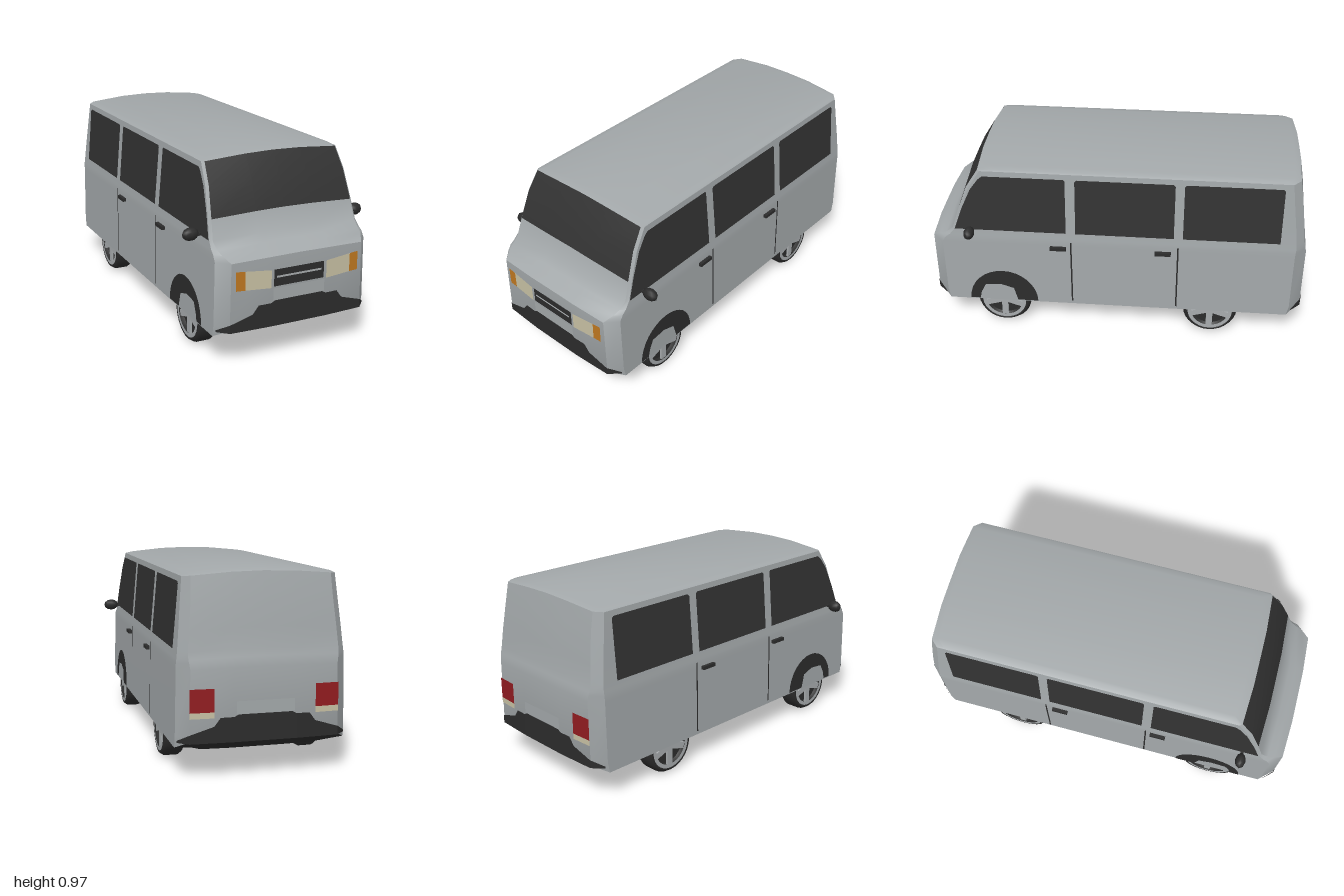
import * as THREE from 'three';
import { toCreasedNormals } from 'three/addons/utils/BufferGeometryUtils.js';

const mat = (name, color, side = THREE.FrontSide) => {
  const m = new THREE.MeshStandardMaterial({ color, side });
  m.name = name;
  return m;
};

// Horizontal body rings: height, half width, front z, front corner inset, back z, back corner inset, end lift, crown
const RINGS = [
  [0.12, 0.31, 0.88, 0.03, -0.88, 0.03, 0, 0],
  [0.15, 0.416, 0.985, 0.055, -0.985, 0.055, 0.035, 0],
  [0.205, 0.415, 0.996, 0.055, -0.996, 0.055, 0.01, 0],
  [0.52, 0.4086, 0.996, 0.055, -0.996, 0.055, 0, 0.01],
  [0.55, 0.408, 0.95, 0.03, -0.992, 0.05, 0, 0.01],
  [0.567, 0.406, 0.915, 0.02, -0.988, 0.045, 0, 0.01],
  [0.6, 0.402, 0.877, 0.012, -0.98, 0.04, 0, 0.01],
  [0.695, 0.3935, 0.845, 0.012, -0.97, 0.04, 0, 0.015],
  [0.84, 0.3804, 0.79, 0.012, -0.95, 0.04, 0, 0.018],
  [0.94, 0.371, 0.725, 0.012, -0.932, 0.035, 0, 0.022],
  [0.948, 0.362, 0.68, 0.03, -0.9, 0.035, 0, 0.025],
];
const GLASS_FROM = 7, GLASS_TO = 9;

const lerpTable = (table, v) => {
  for (let i = 1; i < table.length; i++) {
    const [a, fa] = table[i - 1], [b, fb] = table[i];
    if (v <= b) return fa + (fb - fa) * (v - a) / (b - a);
  }
  return table[table.length - 1][1];
};
const sideX = (y) => lerpTable([[0.15, 0.416], [0.55, 0.408], [0.6, 0.402], [0.94, 0.371]], y);
const endZ = (x) => lerpTable([[0, 0.996], [0.15, 0.996], [0.36, 0.986], [0.415, 0.928]], Math.abs(x));

// Seven points across the front, then seven back across the rear
function ringPoints([y, w, zf, df, zb, db, lift, crown]) {
  const end = (z, d, s) => {
    const c = w - d, zc = z - s * 0.01, zs = zc - s * d * 1.1;
    return [[-w, zs], [-c, zc], [-0.15, z], [0, z], [0.15, z], [c, zc], [w, zs]].map(([x, pz], i) =>
      [x, y + (i > 0 && i < 6 ? lift : 0) + crown * (1 - (x / w) ** 2), pz]);
  };
  return [...end(zf, df, 1), ...end(zb, db, -1).reverse()];
}

function bodyGeometry() {
  const rings = RINGS.map(ringPoints), n = 14;
  const faces = [[], [], []]; // paint, trim, glass
  const quad = (g, a, b, c, d) => faces[g].push(a, b, c, a, c, d);
  const id = (r, i) => r * n + (i % n);
  for (let r = 0; r < rings.length - 1; r++) {
    for (let i = 0; i < n; i++) {
      const glass = r >= GLASS_FROM && r < GLASS_TO && i >= 1 && i <= 4;
      quad(r === 0 ? 1 : glass ? 2 : 0, id(r, i), id(r, i + 1), id(r + 1, i + 1), id(r + 1, i));
    }
  }
  const top = rings.length - 1;
  for (let i = 0; i < 6; i++) {
    quad(0, id(top, i), id(top, i + 1), id(top, 12 - i), id(top, 13 - i));
    quad(1, id(0, i + 1), id(0, i), id(0, 13 - i), id(0, 12 - i));
  }
  const g = new THREE.BufferGeometry();
  g.setAttribute('position', new THREE.Float32BufferAttribute(rings.flat(2), 3));
  g.setIndex(faces.flat());
  let start = 0;
  faces.forEach((f, k) => { g.addGroup(start, f.length, k); start += f.length; });
  return toCreasedNormals(g, 0.6);
}

export function createModel() {
  const paint = mat('silver paint', 0xa3a8aa);
  const trim = mat('dark trim', 0x2c2c2c, THREE.DoubleSide);
  const glass = mat('dark glass', 0x323232);
  const lamp = mat('headlamp cream', 0xc8c1a4);
  const amber = mat('amber', 0xbf7820);
  const red = mat('tail red', 0x921c20);
  const alloy = mat('alloy', 0xa8acae);

  const model = new THREE.Group();
  model.name = 'van';
  const add = (parent, name, geo, material, x = 0, y = 0, z = 0) => {
    const m = new THREE.Mesh(geo, material);
    m.name = name;
    m.position.set(x, y, z);
    parent.add(m);
    return m;
  };
  const group = (name, parent = model) => {
    const g = new THREE.Group();
    g.name = name;
    parent.add(g);
    return g;
  };
  // Thin plate laid over the body by a placing rule
  const plate = (parent, name, pts, material, place) => {
    const g = new THREE.ShapeGeometry(new THREE.Shape(pts.map(([a, b]) => new THREE.Vector2(a, b))));
    const p = g.attributes.position;
    for (let i = 0; i < p.count; i++) p.setXYZ(i, ...place(p.getX(i), p.getY(i)));
    g.computeVertexNormals();
    return add(parent, name, g, material);
  };
  const rect = (x0, x1, y0, y1) => [[x0, y0], [x1, y0], [x1, y1], [x0, y1]];
  const onEnd = (off) => (x, y) => [x, y, endZ(x) + off];
  const onSide = (u, y) => [sideX(y) + 0.004, y, -u];
  const flipX = (pts, s) => pts.map(([x, y]) => [x * s, y]);

  add(model, 'body', bodyGeometry(), [paint, trim, glass]);

  // Bumper trim and number plate, shared by both ends
  const front = group('frontEnd'), rear = group('rearEnd');
  rear.rotation.y = Math.PI;
  for (const end of [front, rear]) {
    plate(end, 'bumperCentre', [[-0.15, 0.18], [0.15, 0.18], [0.15, 0.299], [0.13, 0.31], [-0.13, 0.31], [-0.15, 0.299]], trim, onEnd(0.003));
    plate(end, 'numberPlate', rect(-0.14, 0.14, 0.312, 0.372), paint, onEnd(0.004));
    for (const s of [-1, 1]) {
      plate(end, 'bumperSide', flipX([[0.15, 0.18], [0.36, 0.18], [0.36, 0.222], [0.245, 0.258], [0.215, 0.298], [0.15, 0.299]], s), trim, onEnd(0.003));
      plate(end, 'bumperCorner', flipX([[0.36, 0.18], [0.41, 0.178], [0.41, 0.187], [0.36, 0.222]], s), trim, onEnd(0.003));
    }
  }

  // Grille and lamps
  plate(front, 'grille', rect(-0.136, 0.136, 0.38, 0.464), trim, onEnd(0.002));
  plate(front, 'grilleBar', rect(-0.122, 0.122, 0.422, 0.432), alloy, onEnd(0.004));
  for (const s of [-1, 1]) {
    plate(front, 'headlamp', flipX([[0.15, 0.375], [0.285, 0.384], [0.285, 0.477], [0.15, 0.464]], s), lamp, onEnd(0.003));
    plate(front, 'indicator', flipX([[0.285, 0.384], [0.332, 0.386], [0.332, 0.481], [0.285, 0.477]], s), amber, onEnd(0.003));
    plate(rear, 'tailLamp', flipX(rect(0.245, 0.36, 0.325, 0.435), s), red, onEnd(0.003));
    plate(rear, 'reverseLamp', flipX(rect(0.245, 0.36, 0.297, 0.325), s), lamp, onEnd(0.003));
  }

  // Front wheel arch outline: outer arc, then the uneven inner edge (horizontal axis is -z)
  const arch = [];
  for (let i = 0; i <= 16; i++) {
    const a = Math.PI * i / 16;
    arch.push([-0.615 + 0.186 * Math.cos(a), 0.158 + 0.188 * Math.sin(a)]);
  }
  arch.push([-0.75, 0.158], [-0.74, 0.2], [-0.715, 0.25], [-0.63, 0.258], [-0.56, 0.235], [-0.54, 0.158]);

  // Wheel turned about its own axis, then laid along x
  const tyreGeo = new THREE.LatheGeometry([[0.1, -0.04], [0.118, -0.052], [0.132, -0.052], [0.145, -0.032],
    [0.145, 0.032], [0.132, 0.052], [0.118, 0.052], [0.1, 0.03]].map(([r, h]) => new THREE.Vector2(r, h)), 28);
  const discGeo = new THREE.CylinderGeometry(0.116, 0.116, 0.01, 28);
  const ringGeo = new THREE.RingGeometry(0.1, 0.12, 28).rotateX(-Math.PI / 2);
  const spokeGeo = new THREE.BoxGeometry(0.034, 0.012, 0.09);
  const addWheel = (parent, name, z) => {
    const w = group(name, parent);
    w.position.set(0.357, 0.145, z);
    w.rotation.z = -Math.PI / 2;
    add(w, 'tyre', tyreGeo, trim);
    add(w, 'wheelWell', discGeo, trim, 0, 0.02, 0);
    add(w, 'innerDisc', discGeo, alloy, 0, -0.036, 0);
    add(w, 'rimLip', ringGeo, alloy, 0, 0.053, 0);
    add(w, 'hub', new THREE.CylinderGeometry(0.03, 0.03, 0.02, 16), alloy, 0, 0.036, 0);
    for (let i = 0; i < 5; i++) {
      const a = Math.PI * 2 * i / 5 + 0.3;
      add(w, 'spoke', spokeGeo, alloy, 0.06 * Math.sin(a), 0.04, 0.06 * Math.cos(a)).rotation.y = a;
    }
  };

  // Everything on one flank, mirrored for the other
  for (const s of [1, -1]) {
    const flank = group(s > 0 ? 'leftSide' : 'rightSide');
    flank.scale.x = s;
    plate(flank, 'frontWindow', [[-0.265, 0.603], [-0.265, 0.905], [-0.272, 0.913], [-0.69, 0.913], [-0.712, 0.895],
      [-0.757, 0.835], [-0.81, 0.72], [-0.853, 0.603]], glass, onSide);
    for (const [name, a, b] of [['middleWindow', -0.215, 0.298], ['rearWindow', 0.345, 0.845]]) {
      plate(flank, name, [[a, 0.603], [b, 0.603], [b, 0.903], [b - 0.01, 0.913], [a + 0.01, 0.913], [a, 0.903]], glass, onSide);
    }
    plate(flank, 'wheelArch', arch, trim, onSide);
    for (const z of [0.24, -0.322]) plate(flank, 'doorSeam', rect(-z - 0.004, -z + 0.004, 0.17, 0.55), trim, onSide);
    for (const z of [0.308, -0.243]) add(flank, 'doorHandle', new THREE.BoxGeometry(0.022, 0.018, 0.085), trim, 0.416, 0.512, z);

    // Door mirror
    const pod = new THREE.SphereGeometry(1, 8, 6).scale(0.043, 0.032, 0.028);
    add(flank, 'mirror', pod, trim, 0.457, 0.614, 0.765);
    add(flank, 'mirrorStem', new THREE.BoxGeometry(0.04, 0.012, 0.016), trim, 0.407, 0.608, 0.765);

    addWheel(flank, 'frontWheel', 0.62);
    addWheel(flank, 'rearWheel', -0.507);
  }
  return model;
}
